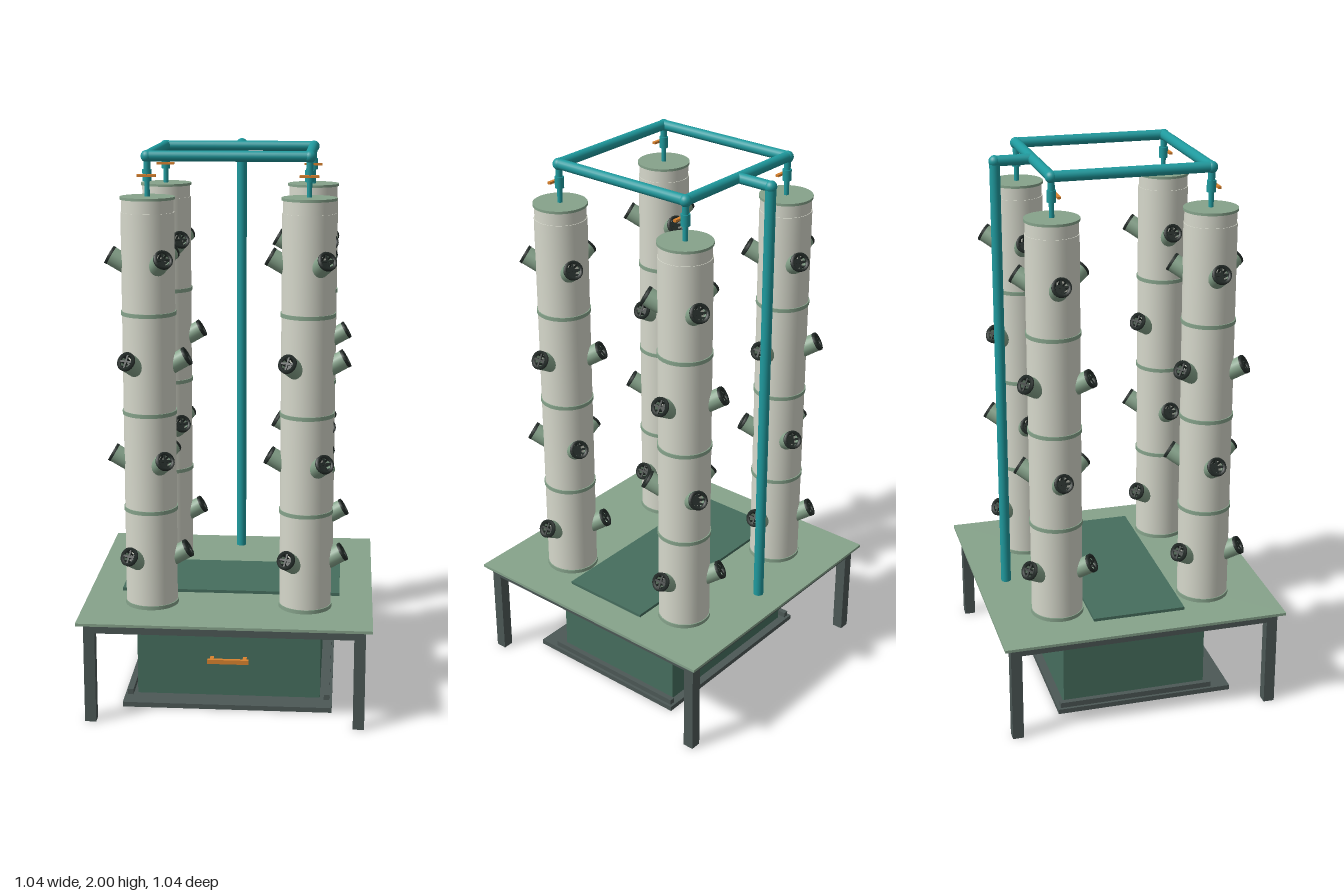
import * as THREE from 'three';

const mat = (name, color, side = THREE.FrontSide) => {
  const m = new THREE.MeshStandardMaterial({ color, side });
  m.name = name;
  return m;
};

export function createModel() {
  const ivory = mat('ivory', 0xd6d8cb);
  const sage = mat('sage', 0x86a38b, THREE.DoubleSide);
  const green = mat('deepGreen', 0x466e5e);
  const teal = mat('teal', 0x1f9a9e);
  const orange = mat('orange', 0xd9822e);
  const steel = mat('steel', 0x4c5856);
  const black = mat('black', 0x222a27, THREE.DoubleSide);
  const blue = mat('waterBlue', 0x78a9ba, THREE.DoubleSide);

  const model = new THREE.Group();
  const add = (name, geo, material, x, y, z, parent = model) => {
    const mesh = new THREE.Mesh(geo, material);
    mesh.name = name;
    mesh.position.set(x, y, z);
    parent.add(mesh);
    return mesh;
  };
  const box = (name, m, w, h, d, x, y, z, p) => add(name, new THREE.BoxGeometry(w, h, d), m, x, y, z, p);
  // Upright cylinder between two heights
  const cyl = (name, m, r, y0, y1, x, z, p, seg = 32) =>
    add(name, new THREE.CylinderGeometry(r, r, y1 - y0, seg), m, x, (y0 + y1) / 2, z, p);
  // Straight pipe between two points
  const pipe = (name, a, b, r = 0.0185) => {
    const from = new THREE.Vector3(...a), to = new THREE.Vector3(...b);
    const dir = to.clone().sub(from);
    const mesh = add(name, new THREE.CylinderGeometry(r, r, dir.length(), 20), teal, 0, 0, 0);
    mesh.position.copy(from).add(to).multiplyScalar(0.5);
    mesh.quaternion.setFromUnitVectors(new THREE.Vector3(0, 1, 0), dir.normalize());
  };
  const elbow = (x, y, z) => add('pipeElbow', new THREE.SphereGeometry(0.021, 20, 14), teal, x, y, z);
  const S = 0.277; // tower offset from the centre
  const signs = [-1, 1];

  // Table
  box('tableTop', sage, 1.04, 0.01, 1.04, 0, 0.373, 0);
  box('tableHatch', green, 0.8, 0.023, 0.34, 0, 0.3775, 0);
  for (const s of signs) {
    box('frameRailX', steel, 0.99, 0.034, 0.04, 0, 0.351, s * 0.476);
    box('frameRailZ', steel, 0.04, 0.034, 0.912, s * 0.476, 0.351, 0);
    box('crossRail', steel, 0.912, 0.026, 0.025, 0, 0.354, s * 0.17);
    for (const t of signs) box('leg', steel, 0.04, 0.368, 0.04, s * 0.476, 0.184, t * 0.476);
  }

  // Reservoir on its sliding tray
  box('tray', steel, 0.76, 0.018, 0.66, 0, 0.009, 0.03);
  for (const s of signs) box('trayRail', steel, 0.02, 0.02, 0.58, s * 0.36, 0.028, 0);
  box('tank', green, 0.67, 0.24, 0.54, 0, 0.138, 0);
  box('tankLid', green, 0.68, 0.008, 0.55, 0, 0.261, 0);
  cyl('fillerCap', steel, 0.036, 0.262, 0.274, 0, 0.165);
  box('tankHandle', orange, 0.15, 0.016, 0.014, 0, 0.162, 0.302);
  for (const s of signs) box('handlePost', orange, 0.014, 0.014, 0.03, s * 0.06, 0.162, 0.283);

  // Drain channel sagging between the towers on each side
  for (const s of signs) {
    const shape = new THREE.Shape();
    shape.moveTo(-0.24, 0.332);
    shape.quadraticCurveTo(0, 0.288, 0.24, 0.332);
    shape.lineTo(0.24, 0.312);
    shape.quadraticCurveTo(0, 0.254, -0.24, 0.312);
    const geo = new THREE.ExtrudeGeometry(shape, { depth: 0.06, bevelEnabled: false, curveSegments: 16 });
    geo.translate(0, 0, -0.03);
    add('drainChannel', geo, blue, s * S, 0, 0).rotation.y = Math.PI / 2;
    for (const t of signs) {
      add('drainCup', new THREE.CylinderGeometry(0.058, 0.05, 0.075, 28, 1, true), blue, s * S, 0.331, t * S);
      cyl('drainCupFloor', blue, 0.052, 0.296, 0.3, s * S, t * S, model, 28);
      box('channelStrap', steel, 0.07, 0.056, 0.016, s * S, 0.31, t * 0.15);
    }
  }

  // Planting port, built along +y with its mouth at the origin
  const R = 0.033;
  const portGeo = {
    tube: new THREE.CylinderGeometry(R, R, 0.085, 20, 1, true).translate(0, -0.0425, 0),
    lip: new THREE.LatheGeometry([[0.023, -0.004], [0.024, 0.004], [0.034, 0.004], [0.034, -0.006]]
      .map(p => new THREE.Vector2(...p)), 20),
    floor: new THREE.CircleGeometry(0.018, 16).rotateX(-Math.PI / 2).translate(0, -0.035, 0),
    rib: new THREE.BoxGeometry(0.003, 0.04, 0.007).rotateZ(-0.2).translate(0.022, -0.017, 0),
    bar: new THREE.BoxGeometry(0.05, 0.004, 0.007).translate(0, 0, 0),
  };
  const makePort = (parent, y, angle) => {
    const turn = new THREE.Group();
    turn.name = 'plantingPort';
    turn.position.y = y;
    turn.rotation.y = angle;
    parent.add(turn);
    const tilt = new THREE.Group();
    tilt.name = 'netCup';
    tilt.position.x = 0.132;
    tilt.rotation.z = -Math.PI / 3;
    turn.add(tilt);
    add('portTube', portGeo.tube, sage, 0, 0, 0, tilt);
    add('cupLip', portGeo.lip, black, 0, 0, 0, tilt);
    add('cupFloor', portGeo.floor, black, 0, 0, 0, tilt);
    for (let i = 0; i < 8; i++) add('cupRib', portGeo.rib, black, 0, 0, 0, tilt).rotation.y = i * Math.PI / 4;
    for (let i = 0; i < 2; i++) add('cupBar', portGeo.bar, black, 0, 0, 0, tilt).rotation.y = i * Math.PI / 2;
  };

  // Towers with stacked segments, ports and feed valves
  for (const sx of signs) for (const sz of signs) {
    const tower = new THREE.Group();
    tower.name = 'tower';
    tower.position.set(sx * S, 0, sz * S);
    model.add(tower);
    cyl('towerBody', ivory, 0.0925, 0.378, 1.79, 0, 0, tower, 40);
    cyl('towerNeck', ivory, 0.09, 1.79, 1.835, 0, 0, tower, 40);
    cyl('towerLid', sage, 0.095, 1.834, 1.843, 0, 0, tower, 40);
    for (let i = 0; i < 4; i++) {
      const y = 0.386 + i * 0.352;
      cyl('segmentRing', sage, 0.096, y - 0.007, y + 0.007, 0, 0, tower, 40);
      for (let k = 0; k < 3; k++) makePort(tower, 0.585 + i * 0.352, (k * 2 + i % 2) * Math.PI / 3);
    }
    cyl('feedStem', teal, 0.009, 1.84, 1.9, 0, 0, tower, 16);
    cyl('valveBody', teal, 0.016, 1.895, 1.935, 0, 0, tower, 16);
    cyl('feedDrop', teal, 0.012, 1.93, 1.975, 0, 0, tower, 16);
    box('valveHandle', orange, 0.066, 0.008, 0.012, 0, 1.915, 0.019, tower);
    elbow(sx * S, 1.979, sz * S);
  }

  // Supply loop and riser
  const top = 1.98, back = -0.41, low = 0.295;
  for (const s of signs) {
    pipe('loopPipeX', [-S, top, s * S], [S, top, s * S]);
    pipe('loopPipeZ', [s * S, top, -S], [s * S, top, S]);
  }
  pipe('loopLink', [0, top, -S], [0, top, back]);
  pipe('riser', [0, low, back], [0, top, back]);
  pipe('pumpPipe', [0, low, back], [0, low, -0.2], 0.016);
  pipe('pumpDrop', [0, low, -0.225], [0, 0.26, -0.225], 0.014);
  elbow(0, 1.979, back);
  elbow(0, low, back);
  cyl('pumpCollar', orange, 0.026, 0.268, 0.28, 0, -0.235);

  return model;
}
